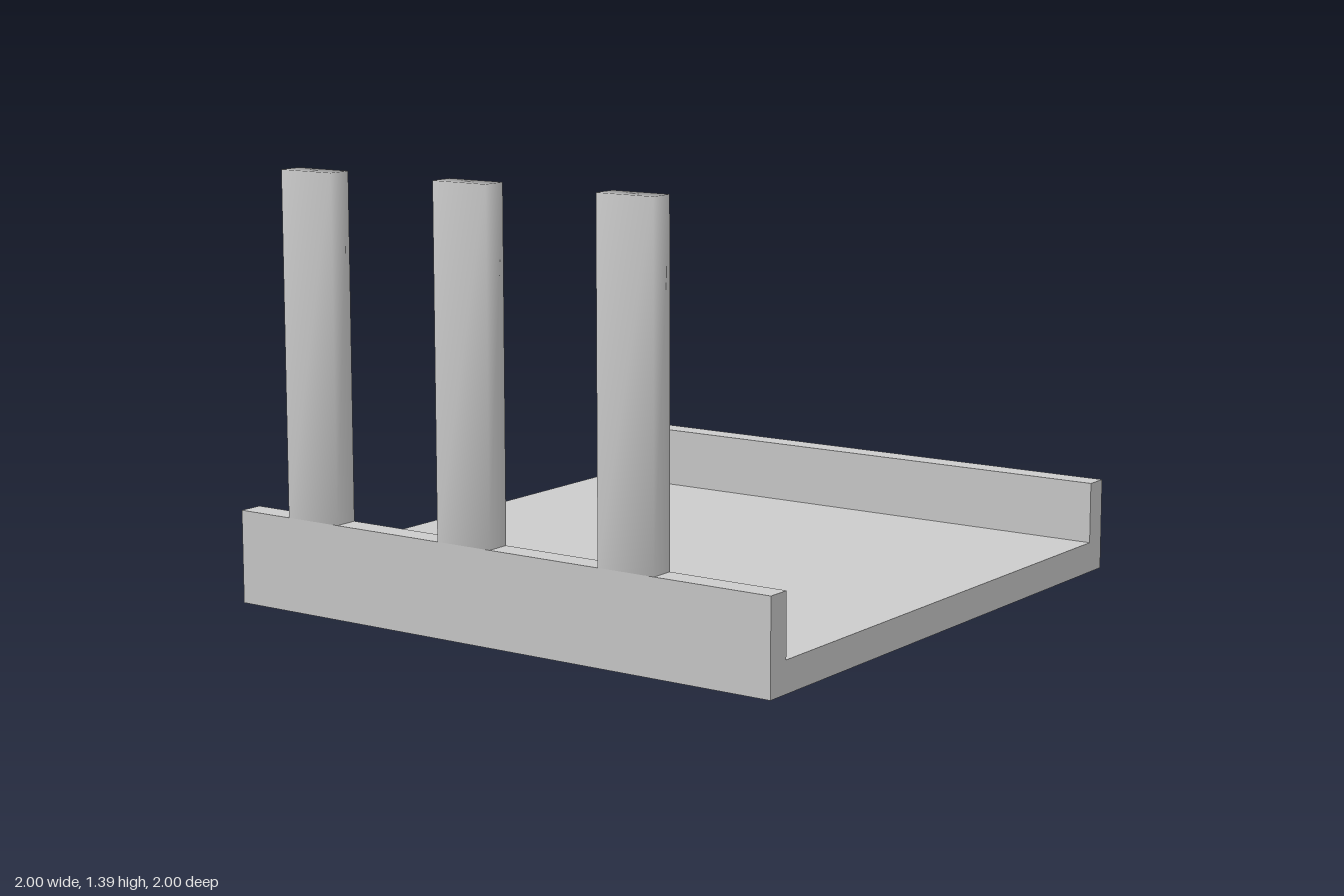
import * as THREE from 'three';
import { mergeVertices } from 'three/addons/utils/BufferGeometryUtils.js';

const WALL = 0.08, FLOOR = 0.1, RIM = 0.3, TOP = 1.39, DEPTH = 0.2;

export function createModel() {
  const model = new THREE.Group();
  const grey = new THREE.MeshStandardMaterial({ color: 0xcccccc });

  const add = (name, geometry) => {
    const mesh = new THREE.Mesh(geometry, grey);
    mesh.name = name;
    model.add(mesh);
    return mesh;
  };

  // Tray: U-shaped section running front to back
  const section = new THREE.Shape([
    [-1, 0], [1, 0], [1, RIM], [1 - WALL, RIM], [1 - WALL, FLOOR],
    [WALL - 1, FLOOR], [WALL - 1, RIM], [-1, RIM],
  ].map(([x, y]) => new THREE.Vector2(x, y)));
  const tray = new THREE.ExtrudeGeometry(section, { depth: 2, bevelEnabled: false });
  add('tray', tray.translate(0, 0, -1));

  // Post: a box with shared corners, so its shading is smooth all round
  const height = TOP - RIM;
  const box = new THREE.BoxGeometry(WALL, height, DEPTH);
  box.deleteAttribute('normal');
  box.deleteAttribute('uv');
  const post = mergeVertices(box);
  post.computeVertexNormals();

  // Three posts along one wall
  for (const z of [0.5, -0.1, -0.7]) {
    add('post', post).position.set(WALL / 2 - 1, RIM + height / 2, z);
  }
  return model;
}
